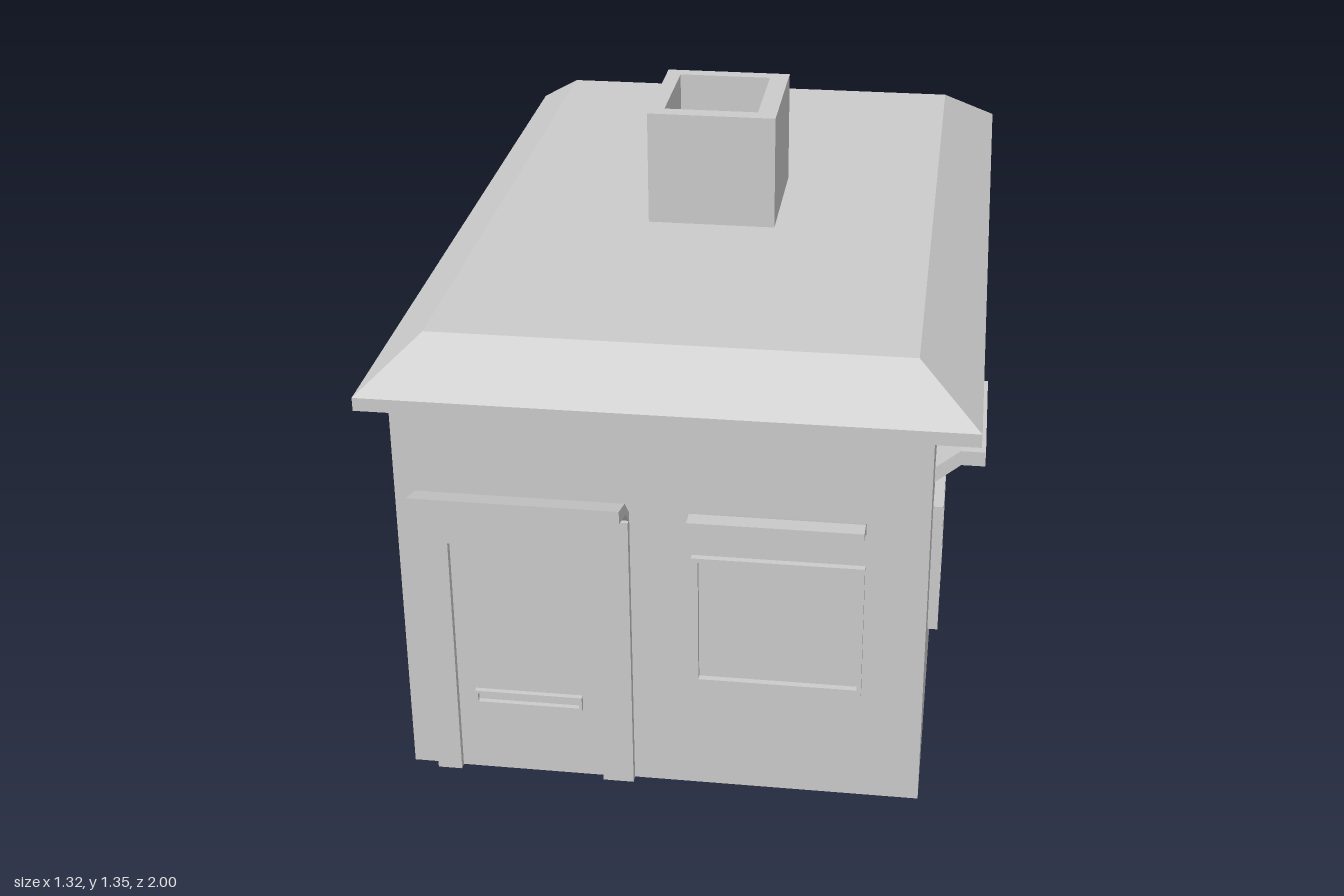
import * as THREE from 'three';

const grey = new THREE.MeshStandardMaterial({ color: 0xcccccc, flatShading: true, side: THREE.DoubleSide });

function add(parent, geometry, name) {
  const mesh = new THREE.Mesh(geometry, grey);
  mesh.name = name;
  parent.add(mesh);
  return mesh;
}

// Box given by its limits
function box(x0, x1, y0, y1, z0, z1) {
  return new THREE.BoxGeometry(x1 - x0, y1 - y0, z1 - z0)
    .translate((x0 + x1) / 2, (y0 + y1) / 2, (z0 + z1) / 2);
}

const corners = (x0, x1, y0, y1) => [[x0, y0], [x1, y0], [x1, y1], [x0, y1]].map(p => new THREE.Vector2(...p));

const extrude = (shape, depth) => new THREE.ExtrudeGeometry(shape, { depth, bevelEnabled: false });

// Rectangular ring: outer and inner limits, extruded along +z
function frame(outer, inner, depth) {
  const shape = new THREE.Shape(corners(...outer));
  shape.holes.push(new THREE.Path(corners(...inner)));
  return extrude(shape, depth);
}

// Awning profile of [distance outwards, height] points, extruded along +z
function awning(points, length) {
  return extrude(new THREE.Shape(points.map(p => new THREE.Vector2(...p))), length);
}

// Closed solid through rectangular cross-sections [x0, x1, z0, z1, y], bottom to top
function rectLoft(sections) {
  const pos = [], index = [];
  for (const [x0, x1, z0, z1, y] of sections) pos.push(x0, y, z1, x1, y, z1, x1, y, z0, x0, y, z0);
  const last = (sections.length - 1) * 4;
  for (let s = 0; s < last; s += 4) {
    for (let i = 0; i < 4; i++) {
      const a = s + i, b = s + (i + 1) % 4;
      index.push(a, b, b + 4, a, b + 4, a + 4);
    }
  }
  index.push(0, 2, 1, 0, 3, 2, last, last + 1, last + 2, last, last + 2, last + 3);
  const geometry = new THREE.BufferGeometry();
  geometry.setAttribute('position', new THREE.Float32BufferAttribute(pos, 3));
  geometry.setIndex(index);
  const flat = geometry.toNonIndexed();
  flat.computeVertexNormals();
  return flat;
}

export function createModel() {
  const house = new THREE.Group();
  house.name = 'house';
  const front = 0.88, left = 0.545, right = -0.615;

  // Body
  add(house, box(right, left, 0, 0.945, -0.895, front), 'walls');

  // Hipped roof with a flat top and sloping soffit
  add(house, rectLoft([
    [right, left, -0.895, front, 0.94],
    [-0.66, 0.64, -1, 0.98, 0.955],
    [-0.66, 0.64, -1, 0.98, 0.985],
    [-0.54, 0.505, -0.87, 0.84, 1.08],
  ]), 'roof');

  // Open chimney
  const chimney = add(house, frame([-0.165, 0.135, -0.17, 0.165], [-0.13, 0.09, -0.13, 0.13], 0.27), 'chimney');
  chimney.rotation.x = -Math.PI / 2;
  chimney.position.y = 1.08;

  // Door with surround, mail slot and canopy
  const door = new THREE.Group();
  door.name = 'door';
  house.add(door);
  for (const [x0, x1] of [[-0.555, -0.5], [-0.17, -0.1]]) {
    add(door, box(x0, x1, 0, 0.6, front - 0.01, 0.9), 'doorPost');
  }
  add(door, box(-0.555, -0.1, 0.6, 0.68, front - 0.01, 0.9), 'doorLintel');
  add(door, box(-0.5, -0.17, 0, 0.6, front - 0.01, front + 0.003), 'doorPanel');
  add(door, frame([-0.46, -0.215, 0.18, 0.215], [-0.453, -0.222, 0.187, 0.208], 0.015), 'mailSlotFrame')
    .position.z = front;
  const canopy = add(door, awning([
    [0.87, 0.67], [0.885, 0.675], [0.92, 0.713], [1, 0.735],
    [1, 0.765], [0.93, 0.745], [0.885, 0.7], [0.87, 0.695],
  ], 0.455), 'doorCanopy');
  canopy.rotation.y = -Math.PI / 2;
  canopy.position.x = -0.1;

  // Front window
  add(house, frame([0.035, 0.41, 0.275, 0.6], [0.05, 0.4, 0.29, 0.59], 0.015), 'frontWindowFrame')
    .position.z = front;
  const frontAwning = add(house, awning([
    [0.87, 0.68], [0.885, 0.68], [0.92, 0.7], [0.96, 0.705],
    [0.96, 0.725], [0.915, 0.722], [0.88, 0.705], [0.87, 0.7],
  ], 0.375), 'frontWindowAwning');
  frontAwning.rotation.y = -Math.PI / 2;
  frontAwning.position.x = 0.41;

  // Window with awning on the +x wall
  const leftFrame = add(house, frame([-0.605, -0.245, 0.275, 0.6], [-0.56, -0.28, 0.31, 0.56], 0.023), 'leftWindowFrame');
  leftFrame.rotation.y = Math.PI / 2;
  leftFrame.position.x = left;
  add(house, awning([
    [0.54, 0.66], [0.548, 0.665], [0.602, 0.71], [0.655, 0.71],
    [0.655, 0.745], [0.6, 0.745], [0.545, 0.7], [0.54, 0.697],
  ], 0.36), 'leftWindowAwning').position.z = 0.245;

  // Taller window on the -x wall
  const rightFrame = add(house, frame([-0.71, -0.26, 0.195, 0.6], [-0.655, -0.315, 0.245, 0.55], 0.02), 'rightWindowFrame');
  rightFrame.rotation.y = -Math.PI / 2;
  rightFrame.position.x = right;

  return house;
}
